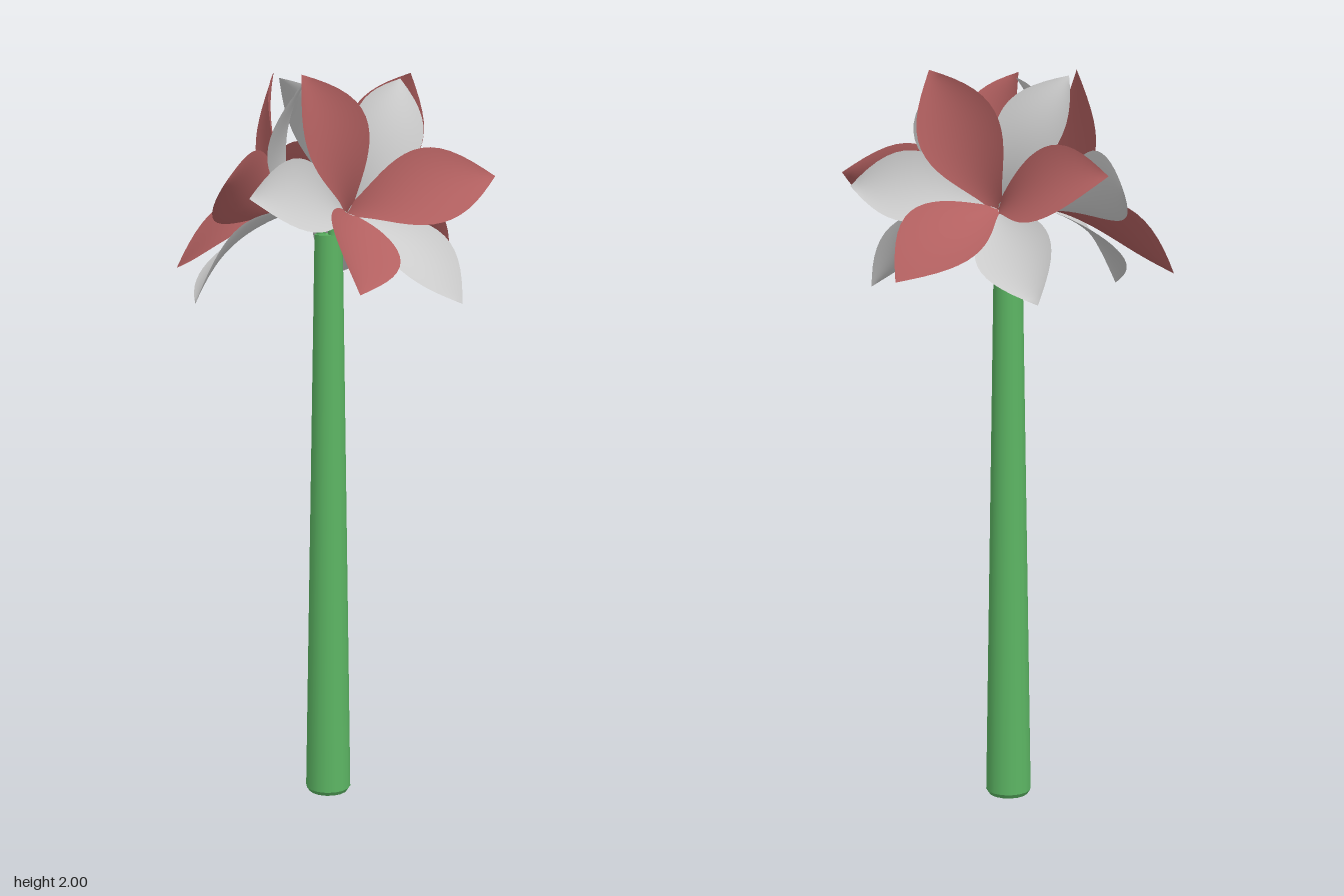
import * as THREE from 'three';
import { ParametricGeometry } from 'three/addons/geometries/ParametricGeometry.js';

const V = (x, y, z) => new THREE.Vector3(x, y, z);
const TILT = THREE.MathUtils.degToRad(27);

// Petal: a leaf-shaped sheet swept along a curved midrib, edges cupped inward.
// Local frame: x across, y away from the flower axis, z along the axis.
function petalGeometry({ control, tip, halfWidth, cup, wave }) {
  const midrib = new THREE.QuadraticBezierCurve3(V(0, 0, 0), control, tip);
  return new ParametricGeometry((u, t, target) => {
    const s = u * 2 - 1;
    const w = halfWidth * Math.sin(Math.PI * Math.pow(t, 1.4)) + 0.016 * (1 - t);
    const p = midrib.getPoint(t);
    const d = midrib.getTangent(t);
    const lift = w * (cup * s * s + wave * s * t);
    target.set(s * w, p.y - d.z * lift, p.z + d.y * lift);
  }, 10, 18);
}

export function createModel() {
  const model = new THREE.Group();
  model.name = 'flowerStalk';
  const plant = new THREE.Group();
  plant.name = 'plant';
  plant.position.set(0.003, 0, -0.025);
  model.add(plant);

  const green = new THREE.MeshStandardMaterial({ color: 0x5cb563 });
  const red = new THREE.MeshStandardMaterial({ color: 0xb26060, side: THREE.DoubleSide });
  const grey = new THREE.MeshStandardMaterial({ color: 0xcccccc, side: THREE.DoubleSide });

  const add = (parent, name, geometry, material) => {
    const mesh = new THREE.Mesh(geometry, material);
    mesh.name = name;
    parent.add(mesh);
    return mesh;
  };

  // Tapered stem with a small bevelled foot
  add(plant, 'stem', new THREE.CylinderGeometry(0.038, 0.063, 1.565, 16), green).position.y = 0.7945;
  add(plant, 'stemFoot', new THREE.CylinderGeometry(0.063, 0.055, 0.012, 16), green).position.y = 0.006;

  const redPetal = petalGeometry({
    control: V(0, 0.1, 0.15), tip: V(0, 0.345, 0.21), halfWidth: 0.102, cup: 0.2, wave: 0.12,
  });
  const greyPetal = petalGeometry({
    control: V(0, 0.15, 0.15), tip: V(0, 0.37, 0.135), halfWidth: 0.092, cup: 0.2, wave: 0.12,
  });
  const branchPath = new THREE.CatmullRomCurve3([
    V(0, 1.56, -0.02), V(0, 1.605, -0.024), V(0, 1.632, -0.048), V(0, 1.642, -0.1),
  ]);
  const branchGeometry = new THREE.TubeGeometry(branchPath, 14, 0.012, 8);

  // Three flowers around the stem, each on its own short branch
  for (let i = 0; i < 3; i++) {
    const spray = new THREE.Group();
    spray.name = 'spray';
    spray.rotation.y = (i * Math.PI * 2) / 3;
    plant.add(spray);
    add(spray, 'branch', branchGeometry, green);

    // The flower faces outward and a little upward
    const flower = new THREE.Group();
    flower.name = 'flower';
    flower.position.set(0, 1.64, -0.09);
    flower.rotation.set(-TILT, Math.PI, 0, 'YXZ');
    spray.add(flower);

    // Three inner red petals alternate with three outer grey ones
    for (let k = 0; k < 3; k++) {
      const turn = (k * Math.PI * 2) / 3;
      add(flower, 'innerPetal', redPetal, red).rotation.z = turn - Math.PI / 2;
      add(flower, 'outerPetal', greyPetal, grey).rotation.z = turn + Math.PI / 2;
    }
  }
  return model;
}
